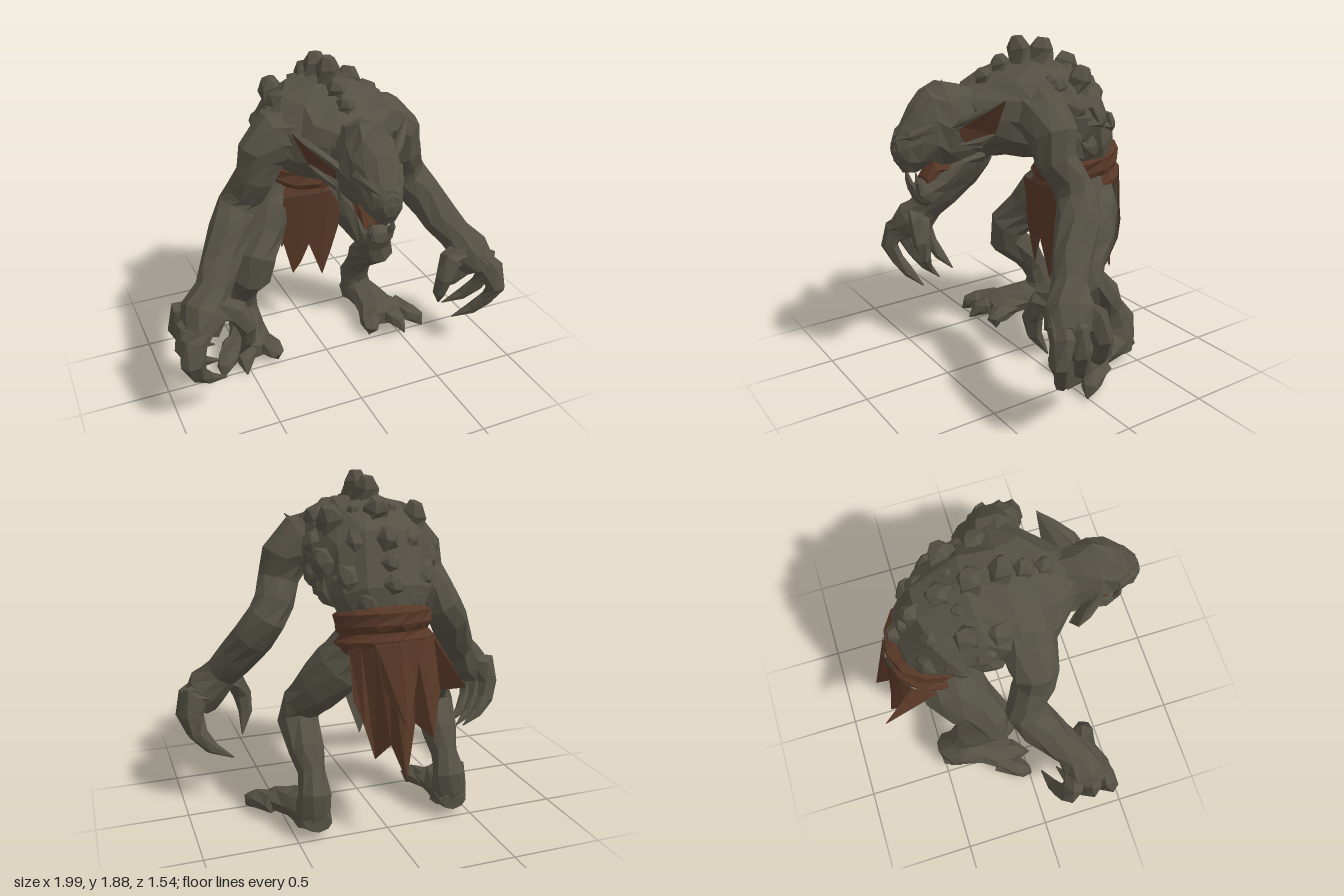
import * as THREE from 'three';

const stone = new THREE.MeshStandardMaterial({ color: 0x545044, side: THREE.DoubleSide });
stone.name = 'stone skin';
const cloth = new THREE.MeshStandardMaterial({ color: 0x573726, side: THREE.DoubleSide });
cloth.name = 'brown cloth';

const vec = (a) => new THREE.Vector3(...a);

export function createModel() {
  const root = new THREE.Group();
  let seed = 7;
  const rnd = () => (seed = (seed * 16807) % 2147483647) / 2147483647 - 0.5;

  // Faceted mesh from points and triangle indices
  function facets(name, pts, index, mat, parent = root) {
    let g = new THREE.BufferGeometry();
    g.setAttribute('position', new THREE.Float32BufferAttribute(pts.flatMap((p) => [p.x, p.y, p.z]), 3));
    g.setIndex(index);
    g = g.toNonIndexed();
    g.computeVertexNormals();
    const m = new THREE.Mesh(g, mat);
    m.name = name;
    parent.add(m);
    return m;
  }

  // Rough capped limb through sections [x, y, z, halfWidth, halfDepth]
  function loft(name, secs, { sides = 8, ref = [0, 0, 1], dir = null, mat = stone, rough = 0.1, parent = root } = {}) {
    const pts = [], idx = [], n = secs.length;
    secs.forEach((s, i) => {
      const t = dir ? vec(dir).normalize()
        : vec(secs[Math.min(i + 1, n - 1)].slice(0, 3)).sub(vec(secs[Math.max(i - 1, 0)].slice(0, 3))).normalize();
      const V = vec(ref).addScaledVector(t, -vec(ref).dot(t)).normalize();
      const U = V.clone().cross(t);
      for (let j = 0; j < sides; j++) {
        const a = ((j + (i % 2) * 0.35) / sides) * Math.PI * 2, k = 1.03 + rnd() * rough;
        pts.push(vec(s.slice(0, 3)).addScaledVector(U, Math.cos(a) * s[3] * k).addScaledVector(V, Math.sin(a) * s[4] * k));
      }
    });
    for (let i = 0; i < n - 1; i++) {
      for (let j = 0; j < sides; j++) {
        const a = i * sides + j, b = i * sides + (j + 1) % sides;
        idx.push(a, b, b + sides, a, b + sides, a + sides);
      }
    }
    const last = (n - 1) * sides;
    for (let j = 1; j < sides - 1; j++) idx.push(0, j + 1, j, last, last + j, last + j + 1);
    return facets(name, pts, idx, mat, parent);
  }

  // Sections along z given as [z, top, bottom, halfWidth, x]
  const alongZ = (rows) => rows.map(([z, t, b, w, x = 0]) => [x, (t + b) / 2, z, w, (t - b) / 2]);
  const headOpts = { ref: [0, 1, 0], dir: [0, 0, 1], rough: 0.06 };

  // Blunt five-sided stone stub
  function growth(parent, name, p, d, r, l) {
    const at = (k) => vec(p).addScaledVector(vec(d).normalize(), l * k).toArray();
    loft(name, [[...at(-0.5), r * 1.1, r * 1.1], [...at(0.45), r * 0.9, r], [...at(1), r * 0.45, r * 0.55]],
      { sides: 5, ref: [0.1, 0.5, 1], rough: 0.3, parent });
  }

  // Hunched torso, hips to neck
  loft('torso', [
    [0, 0.98, -0.37, 0.19, 0.15], [0, 1.14, -0.4, 0.2, 0.17], [0, 1.28, -0.37, 0.26, 0.21],
    [0, 1.42, -0.27, 0.31, 0.26], [0, 1.49, -0.1, 0.32, 0.28], [0, 1.5, 0.02, 0.38, 0.26],
    [0, 1.49, 0.13, 0.37, 0.23], [0, 1.47, 0.24, 0.27, 0.2], [0, 1.45, 0.34, 0.17, 0.17],
  ], { sides: 12, ref: [0, 1, -1], rough: 0.08 });

  // Head, jaw and face
  const head = new THREE.Group();
  head.name = 'head';
  root.add(head);
  loft('skull', alongZ([
    [0.24, 1.62, 1.25, 0.14], [0.4, 1.67, 1.24, 0.14], [0.5, 1.7, 1.25, 0.15], [0.58, 1.67, 1.29, 0.135],
    [0.66, 1.59, 1.25, 0.11], [0.72, 1.49, 1.25, 0.085], [0.765, 1.42, 1.33, 0.045],
  ]), { ...headOpts, sides: 10, parent: head });
  loft('lowerJaw', alongZ([
    [0.3, 1.36, 1.24, 0.12], [0.42, 1.32, 1.22, 0.12], [0.52, 1.26, 1.11, 0.1],
    [0.6, 1.2, 1.05, 0.085], [0.65, 1.18, 1.07, 0.07], [0.68, 1.18, 1.13, 0.045],
  ]), { ...headOpts, parent: head });
  loft('mouth', alongZ([[0.48, 1.3, 1.2, 0.08], [0.56, 1.29, 1.18, 0.07], [0.61, 1.21, 1.17, 0.06]]),
    { ...headOpts, mat: cloth, parent: head });
  loft('nose', [[0, 1.44, 0.73, 0.025, 0.03], [0, 1.37, 0.75, 0.035, 0.025], [0, 1.32, 0.735, 0.045, 0.03], [0, 1.28, 0.72, 0.02, 0.02]],
    { sides: 6, parent: head });

  for (const s of [1, -1]) {
    const side = new THREE.Group();
    side.name = s > 0 ? 'leftSide' : 'rightSide';
    root.add(side);
    const limb = (name, secs, o = {}) => loft(name, secs.map(([x, ...r]) => [x * s, ...r]), { parent: side, ...o });

    // Brow, tusk and thin pointed ear with a stone rim
    limb('brow', [[0.02, 1.42, 0.74, 0.025, 0.03], [0.07, 1.45, 0.7, 0.025, 0.03], [0.12, 1.49, 0.6, 0.02, 0.025]], { sides: 5, ref: [0, 1, 0.2] });
    limb('tusk', [[0.05, 1.14, 0.65, 0.022, 0.022], [0.06, 1.2, 0.67, 0.016, 0.016], [0.055, 1.26, 0.68, 0.002, 0.002]], { sides: 5 });
    const ear = [[0.14, 1.49, 0.5], [0.325, 1.63, 0.3], [0.23, 1.43, 0.31], [0.15, 1.37, 0.42]];
    const fan = (name, apex, mat) => facets(name, [...ear, apex].map(([x, y, z]) => vec([x * s, y, z])),
      [0, 4, 1, 1, 4, 2, 2, 4, 3, 3, 4, 0], mat, side);
    fan('innerEar', [0.18, 1.47, 0.4], cloth);
    fan('outerEar', [0.165, 1.465, 0.385], stone);
    limb('earRim', [[0.12, 1.46, 0.5, 0.025, 0.025], [0.19, 1.52, 0.455, 0.028, 0.02], [0.27, 1.585, 0.37, 0.02, 0.014], [0.33, 1.635, 0.3, 0.002, 0.002]],
      { sides: 5, ref: [0, 1, 0] });
    limb('earLobe', [[0.13, 1.37, 0.45, 0.03, 0.03], [0.19, 1.4, 0.37, 0.022, 0.022], [0.23, 1.44, 0.31, 0.008, 0.008]], { sides: 5, ref: [0, 1, 0] });

    // Arm and palm
    limb('arm', [
      [0.18, 1.52, 0.06, 0.16, 0.18], [0.32, 1.51, 0.06, 0.145, 0.145], [0.4, 1.43, 0.06, 0.13, 0.125],
      [0.43, 1.31, 0.06, 0.11, 0.105], [0.475, 1.2, 0.01, 0.105, 0.1], [0.52, 1.12, -0.01, 0.11, 0.11],
      [0.59, 1.01, 0.04, 0.115, 0.115], [0.67, 0.87, 0.13, 0.105, 0.1], [0.74, 0.77, 0.2, 0.095, 0.09],
      [0.81, 0.68, 0.25, 0.12, 0.13], [0.86, 0.59, 0.29, 0.1, 0.13],
    ], { sides: 9 });

    // Three spread, curled fingers: depth at base, middle and tip, then height offset
    for (const [z0, z1, z2, dy] of [[0.19, 0.14, 0.05, 0.07], [0.28, 0.28, 0.15, 0.03], [0.34, 0.4, 0.27, 0]]) {
      limb('finger', [
        [0.82, 0.66, z0, 0.065, 0.055], [0.91, 0.58 + dy, (z0 + z1) / 2, 0.075, 0.055], [0.93, 0.47 + dy, z1, 0.062, 0.05],
        [0.9, 0.37 + dy, (z1 * 2 + z2) / 3, 0.05, 0.042], [0.83, 0.29 + dy, (z1 + z2 * 2) / 3, 0.033, 0.033], [0.72, 0.23 + dy, z2, 0.004, 0.004],
      ], { sides: 6 });
    }
    limb('thumb', [
      [0.77, 0.7, 0.27, 0.07, 0.08], [0.65, 0.67, 0.31, 0.065, 0.065], [0.605, 0.57, 0.33, 0.05, 0.055],
      [0.595, 0.47, 0.31, 0.038, 0.042], [0.63, 0.35, 0.25, 0.004, 0.004],
    ], { sides: 6, ref: [0, 0.4, 1] });

    // Crouched leg with a bulging knee and heavy ankle
    limb('leg', [
      [0.13, 1.04, -0.38, 0.12, 0.16], [0.21, 0.92, -0.34, 0.135, 0.175], [0.3, 0.79, -0.27, 0.125, 0.155],
      [0.375, 0.67, -0.17, 0.11, 0.12], [0.405, 0.57, -0.17, 0.11, 0.11], [0.39, 0.45, -0.31, 0.095, 0.095],
      [0.39, 0.35, -0.37, 0.07, 0.08], [0.39, 0.25, -0.43, 0.085, 0.1], [0.4, 0.16, -0.42, 0.095, 0.1], [0.4, 0.08, -0.42, 0.1, 0.09],
    ], { sides: 9 });
    limb('foot', alongZ([
      [-0.51, 0.15, 0.06, 0.07, 0.39], [-0.42, 0.22, 0.04, 0.1, 0.4], [-0.28, 0.21, 0.04, 0.11, 0.42],
      [-0.15, 0.17, 0.03, 0.145, 0.46], [-0.07, 0.13, 0.03, 0.13, 0.48],
    ]), { ref: [0, 1, 0], dir: [0, 0, 1] });
    for (const [bx, tx, tz] of [[0.37, 0.31, -0.03], [0.47, 0.53, 0.04], [0.55, 0.67, 0.01]]) {
      limb('toe', [[bx, 0.1, -0.18, 0.06, 0.055], [(bx + tx) / 2, 0.085, -0.07, 0.065, 0.055], [tx * 0.85 + bx * 0.15, 0.06, -0.02, 0.045, 0.045], [tx, 0.015, tz, 0.005, 0.005]],
        { sides: 6, ref: [0, 1, 0] });
    }

    // Paired stony growths: base, direction, radius, length
    for (const [p, d, r, l] of [
      [[0.22, 1.63, -0.22], [0.25, 1, -0.25], 0.075, 0.11], [[0.1, 1.67, -0.22], [0.1, 1, -0.4], 0.045, 0.07],
      [[0.24, 1.64, -0.05], [0.4, 1, -0.1], 0.08, 0.07], [[0.14, 1.56, -0.38], [0.2, 0.8, -1], 0.07, 0.06],
      [[0.27, 1.46, -0.3], [0.7, 0.5, -0.8], 0.08, 0.06], [[0.2, 1.4, -0.44], [0.4, 0.3, -0.9], 0.075, 0.05],
      [[0.28, 1.36, -0.13], [1, -0.2, -0.1], 0.09, 0.05], [[0.25, 1.29, -0.28], [1, -0.2, -0.4], 0.075, 0.05],
      [[0.12, 1.29, -0.51], [0.4, 0, -1], 0.07, 0.04], [[0.28, 1.53, -0.15], [1, 0.5, -0.3], 0.08, 0.06],
    ]) growth(side, 'backGrowth', [p[0] * s, p[1], p[2]], [d[0] * s, d[1], d[2]], r, l);
  }

  // Row of spine stones
  for (const [y, z, dy, dz, r, l] of [
    [1.68, 0.23, 1, 0.3, 0.05, 0.06], [1.73, 0.12, 1, 0.2, 0.055, 0.07], [1.78, 0.01, 1, 0.1, 0.065, 0.11], [1.77, -0.14, 1, -0.15, 0.07, 0.1],
    [1.69, -0.29, 1, -0.4, 0.07, 0.09], [1.57, -0.42, 0.5, -0.9, 0.065, 0.09], [1.47, -0.48, 0.3, -1, 0.055, 0.06], [1.37, -0.53, 0.2, -1, 0.06, 0.07],
  ]) growth(root, 'spineStone', [0, y, z], [0, dy, dz], r, l);

  // Double-wrapped waist cloth, higher at the back
  loft('waistWrap', [
    [0, 0.95, -0.39, 0.22, 0.19], [0, 1.0, -0.39, 0.26, 0.235], [0, 1.06, -0.39, 0.265, 0.25], [0, 1.1, -0.39, 0.235, 0.225],
    [0, 1.14, -0.39, 0.25, 0.25], [0, 1.2, -0.39, 0.245, 0.24], [0, 1.235, -0.39, 0.2, 0.19],
  ], { sides: 12, dir: [0, 1, 0.2], mat: cloth, rough: 0.07 });

  // Ragged hanging cloth: brown outside, stone-coloured inside
  function flap(name, top, bottom, inward) {
    const pts = [...top, ...bottom].map(vec), n = top.length, idx = [];
    for (let i = 0; i < n - 1; i++) idx.push(i, i + n, i + 1, i + 1, i + n, i + n + 1);
    facets(name, pts, idx, cloth);
    facets(name + 'Lining', pts, idx, stone).position.z = inward;
  }
  flap('frontFlap',
    [[-0.2, 1.03, -0.16], [-0.15, 1.04, -0.14], [-0.08, 1.04, -0.13], [-0.02, 1.04, -0.125], [0.06, 1.04, -0.13], [0.11, 1.04, -0.14], [0.16, 1.04, -0.16]],
    [[-0.2, 0.74, -0.19], [-0.135, 0.49, -0.2], [-0.09, 0.57, -0.18], [-0.04, 0.69, -0.17], [0.05, 0.45, -0.18], [0.11, 0.62, -0.18], [0.16, 0.76, -0.19]], -0.008);
  flap('rearFlap',
    [[-0.28, 1.06, -0.43], [-0.22, 1.08, -0.56], [-0.15, 1.09, -0.61], [-0.08, 1.1, -0.635], [0, 1.1, -0.645], [0.06, 1.1, -0.635], [0.12, 1.09, -0.615], [0.18, 1.08, -0.57], [0.23, 1.05, -0.53]],
    [[-0.31, 0.87, -0.76], [-0.23, 0.82, -0.63], [-0.16, 0.6, -0.72], [-0.09, 0.66, -0.64], [-0.02, 0.38, -0.71], [0.04, 0.56, -0.64], [0.1, 0.46, -0.57], [0.17, 0.66, -0.6], [0.22, 0.8, -0.57]], 0.008);
  flap('rearTatter',
    [[-0.12, 1.09, -0.63], [0, 1.1, -0.66], [0.12, 1.09, -0.63]],
    [[-0.08, 0.9, -0.67], [0.0, 0.68, -0.76], [0.09, 0.88, -0.66]], 0.008);

  return root;
}
